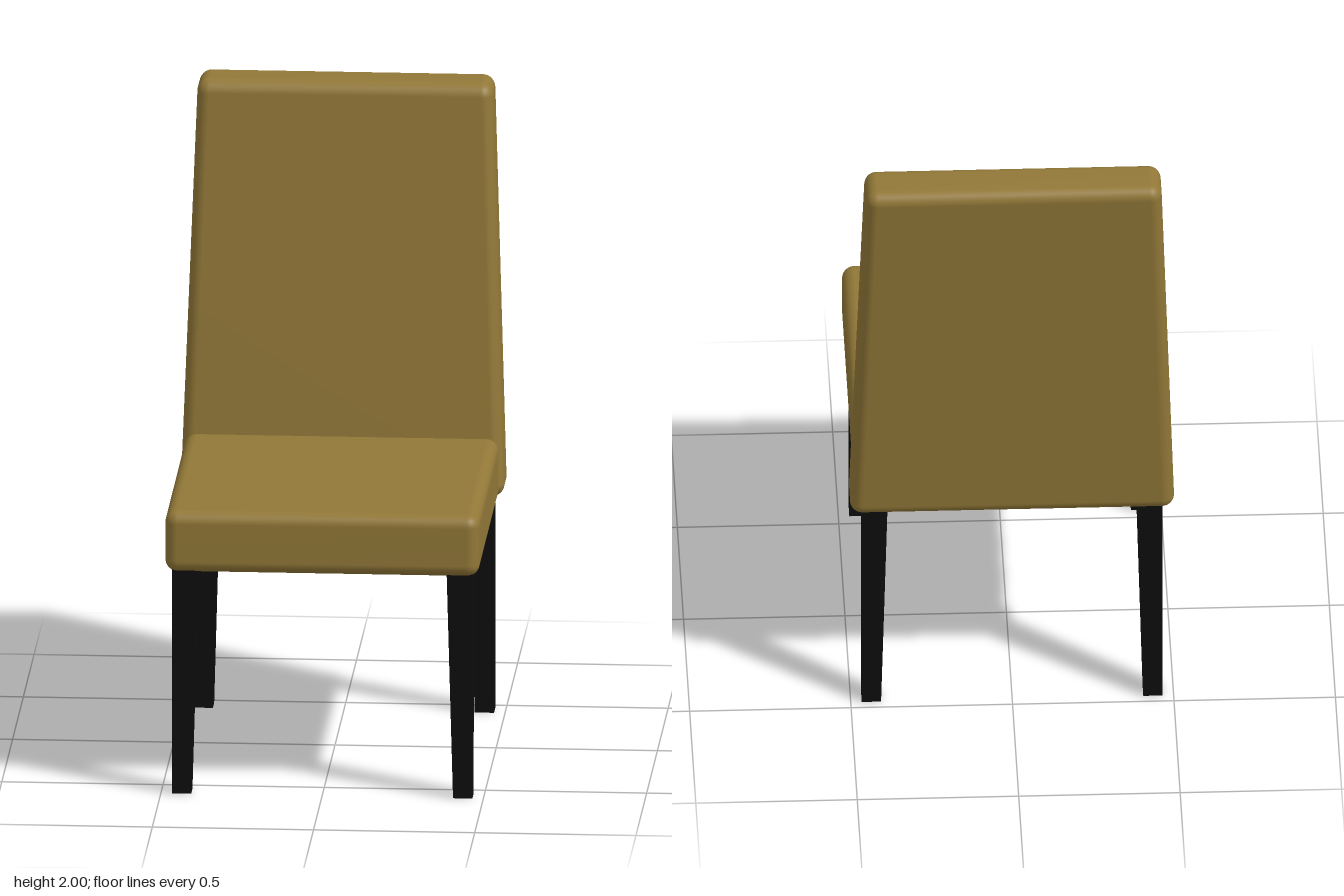
import * as THREE from 'three';
import { mergeVertices } from 'three/addons/utils/BufferGeometryUtils.js';
import { RoundedBoxGeometry } from 'three/addons/geometries/RoundedBoxGeometry.js';

// Move every vertex of a geometry by a rule
function reshape(geometry, rule) {
  const p = geometry.attributes.position;
  const v = new THREE.Vector3();
  for (let i = 0; i < p.count; i++) {
    rule(v.fromBufferAttribute(p, i));
    p.setXYZ(i, v.x, v.y, v.z);
  }
  return geometry;
}

// Rounded cushion standing on y = 0, reshaped and smoothly shaded
function cushion(w, h, d, radius, rule) {
  const g = new RoundedBoxGeometry(w, h, d, 5, radius);
  g.translate(0, h / 2, 0);
  reshape(g, rule);
  g.deleteAttribute('normal');
  g.deleteAttribute('uv');
  const smooth = mergeVertices(g, 1e-5);
  smooth.computeVertexNormals();
  return smooth;
}

export function createModel() {
  const model = new THREE.Group();
  model.name = 'diningChair';
  const fabric = new THREE.MeshStandardMaterial({ color: 0x927838 });
  fabric.name = 'ochre fabric';
  const wood = new THREE.MeshStandardMaterial({ color: 0x0d0d0d });
  wood.name = 'black wood';

  const add = (name, geometry, material, x, y, z) => {
    const mesh = new THREE.Mesh(geometry, material);
    mesh.name = name;
    mesh.position.set(x, y, z);
    model.add(mesh);
  };

  const base = 0.71;
  const lean = 0.1;

  // Seat cushion, its rear face sloped to follow the backrest
  const seatDepth = 0.952;
  add('seat', cushion(0.974, 0.195, seatDepth, 0.038, (v) => {
    if (v.z < 0) v.z -= lean * (v.y - 0.1);
  }), fabric, 0, base, 0.619 - seatDepth / 2);

  // Backrest, leaning backwards and narrowing towards the top
  const backHeight = 1.29;
  add('backrest', cushion(1.006, backHeight, 0.169, 0.04, (v) => {
    v.x *= 1 - 0.09 * v.y / backHeight;
    v.z -= lean * v.y;
  }), fabric, 0, base, -0.407);

  // Tapered legs: outer faces vertical, inner faces sloping
  const legHeight = 0.73;
  for (const sx of [1, -1]) {
    for (const sz of [1, -1]) {
      const g = new THREE.BoxGeometry(0.08, legHeight, 0.08).translate(0, legHeight / 2, 0);
      reshape(g, (v) => {
        const inset = 0.02 * (1 - v.y / legHeight);
        if (v.x * sx < 0) v.x += sx * inset;
        if (v.z * sz < 0) v.z += sz * inset;
      });
      const leg = g.toNonIndexed();
      leg.computeVertexNormals();
      const name = (sz > 0 ? 'front' : 'back') + (sx > 0 ? 'Left' : 'Right') + 'Leg';
      add(name, leg, wood, sx * 0.426, 0, sz > 0 ? 0.56 : -0.43);
    }
  }
  return model;
}
